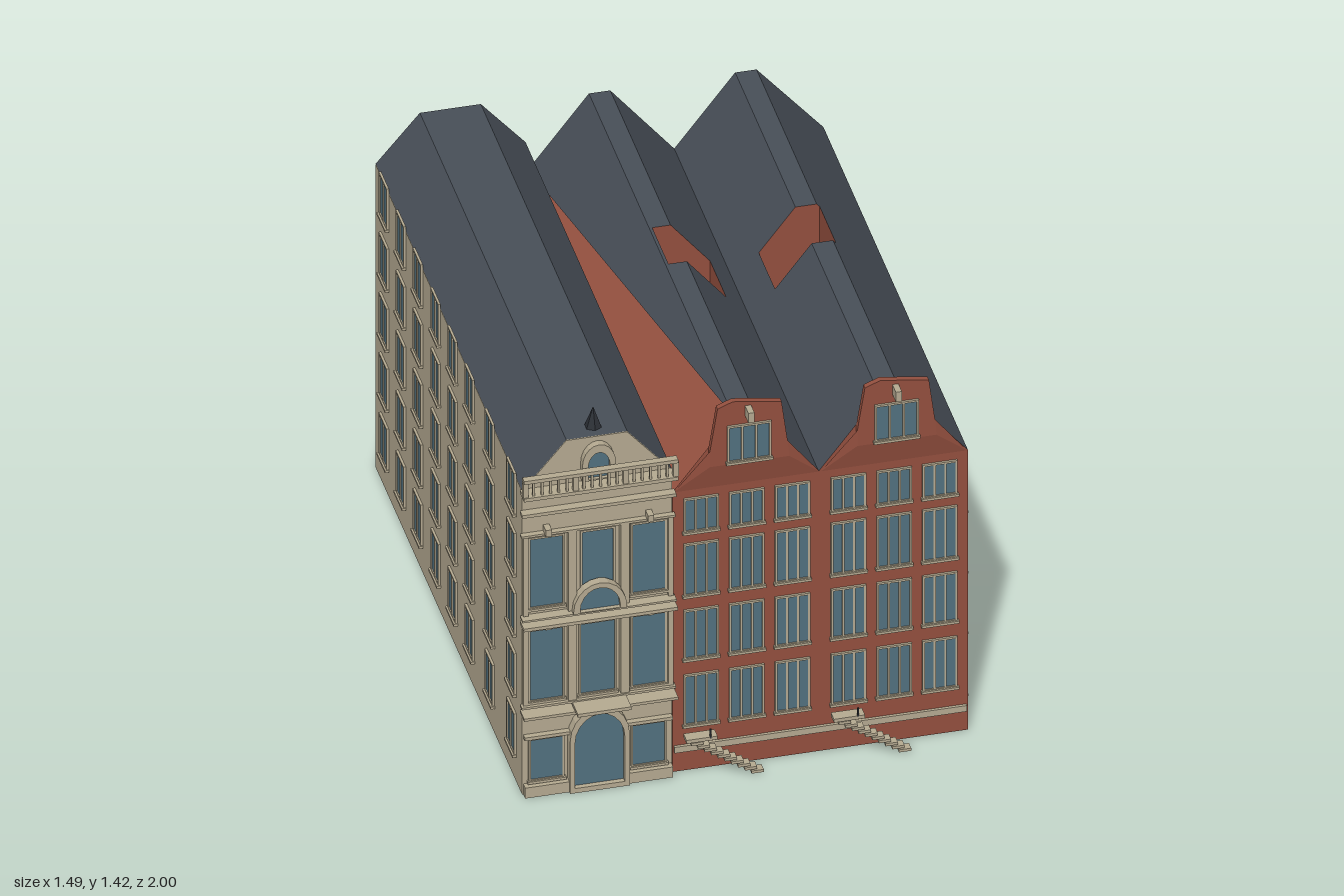
import * as THREE from 'three';

const mat = (color) => new THREE.MeshStandardMaterial({ color, side: THREE.DoubleSide, flatShading: true });
const RED = mat(0x94503f), SLATE = mat(0x484f58), STONE = mat(0xb5aa91), GLASS = mat(0x52717f), DARK = mat(0x2c3036);

const polygon = (pts) => new THREE.Shape(pts.map(([x, y]) => new THREE.Vector2(x, y)));
const rect = (x0, x1, y0, y1) => [[x0, y0], [x1, y0], [x1, y1], [x0, y1]];

function add(parent, name, geometry, material, x = 0, y = 0, z = 0) {
  const mesh = new THREE.Mesh(geometry, material);
  mesh.name = name;
  mesh.position.set(x, y, z);
  parent.add(mesh);
  return mesh;
}
// box given by its limits
const box = (p, name, m, x0, x1, y0, y1, z0, z1) =>
  add(p, name, new THREE.BoxGeometry(x1 - x0, y1 - y0, z1 - z0), m, (x0 + x1) / 2, (y0 + y1) / 2, (z0 + z1) / 2);
// flat polygon facing +z
const sheet = (p, name, m, pts, z) => add(p, name, new THREE.ShapeGeometry(polygon(pts)), m, 0, 0, z);
const plate = (p, name, m, shape, depth, z) =>
  add(p, name, new THREE.ExtrudeGeometry(shape, { depth, bevelEnabled: false, curveSegments: 10 }), m, 0, 0, z);
// surface from triangles or quads given by their corners
function faces(p, name, m, list) {
  const v = [];
  for (const f of list) for (let i = 1; i < f.length - 1; i++) v.push(...f[0], ...f[i], ...f[i + 1]);
  const g = new THREE.BufferGeometry();
  g.setAttribute('position', new THREE.Float32BufferAttribute(v, 3));
  g.computeVertexNormals();
  return add(p, name, g, m);
}

// framed window with upright panes, facing +z before turning
function makeWindow(p, x, y, z, w, h, panes = 2, turn = 0, t = 0.007) {
  const g = new THREE.Group();
  g.name = 'window';
  const shape = polygon(rect(-w / 2, w / 2, -h / 2, h / 2));
  const pw = (w - t) / panes;
  for (let i = 0; i < panes; i++) {
    const x0 = -w / 2 + t + i * pw;
    shape.holes.push(new THREE.Path(polygon(rect(x0, x0 + pw - t, -h / 2 + t, h / 2 - t)).getPoints()));
  }
  plate(g, 'windowFrame', STONE, shape, 0.008, 0);
  add(g, 'windowGlass', new THREE.PlaneGeometry(w, h), GLASS, 0, 0, 0.004);
  box(g, 'windowSill', STONE, -w / 2 - 0.004, w / 2 + 0.004, -h / 2 - 0.006, -h / 2 + 0.003, 0, 0.014);
  g.position.set(x, y, z);
  g.rotation.y = turn;
  p.add(g);
}

const RIDGES = [[-0.24, 1.08], [-0.04, 1.34], [0.03, 1.34], [0.24, 1.08], [0.44, 1.34], [0.51, 1.34], [0.73, 1.08]];
const BACK = -0.97, FRONT = 0.9, WELLS = [[-0.03, 0.16], [0.32, 0.52]], WZ = [-0.19, 0.02];
function roofY(x) {
  const i = Math.max(1, RIDGES.findIndex((r) => r[0] >= x));
  const [a, b] = [RIDGES[i - 1], RIDGES[i]];
  return a[1] + (b[1] - a[1]) * (x - a[0]) / (b[0] - a[0]);
}

function brickHouses() {
  const g = new THREE.Group();
  g.name = 'brickHouses';
  const outline = [[-0.24, 0], [0.73, 0], ...[...RIDGES].reverse()];
  sheet(g, 'frontWall', RED, outline, FRONT);
  sheet(g, 'backWall', RED, outline, BACK).geometry.scale(1, 1, -1);
  for (const x of [-0.24, 0.73])
    faces(g, 'sideWall', RED, [[[x, 0, FRONT], [x, 0, BACK], [x, 1.08, BACK], [x, 1.08, FRONT]]]);

  // ground and attic floors, pierced by the two light wells
  for (const y of [0, 1.075]) {
    const s = polygon(rect(-0.24, 0.73, -FRONT, -BACK));
    for (const [a, b] of WELLS) s.holes.push(new THREE.Path(polygon(rect(a, b, -WZ[1], -WZ[0])).getPoints()));
    add(g, 'floor', new THREE.ShapeGeometry(s), RED, 0, y, 0).rotation.x = -Math.PI / 2;
  }
  for (const [a, b] of WELLS) {
    const top = [a, ...RIDGES.map((r) => r[0]).filter((x) => x > a && x < b), b].map((x) => [x, roofY(x)]);
    for (const z of WZ) sheet(g, 'wellWall', RED, [[a, 0], [b, 0], ...top.reverse()], z);
    for (const x of [a, b])
      faces(g, 'wellWall', RED, [[[x, 0, WZ[0]], [x, 0, WZ[1]], [x, roofY(x), WZ[1]], [x, roofY(x), WZ[0]]]]);
    box(g, 'wellGlass', GLASS, a, b, 0.6, 0.61, ...WZ);
  }

  // roof strips; the westmost slope is only its rear triangle
  const roof = [[[-0.24, 1.08, BACK], [-0.04, 1.34, FRONT], [-0.04, 1.34, BACK]]];
  const xs = [...RIDGES.map((r) => r[0]), ...WELLS.flat()].sort((a, b) => a - b).slice(1);
  const zs = [BACK, ...WZ, FRONT];
  for (let i = 0; i < xs.length - 1; i++) {
    const [a, b] = [xs[i], xs[i + 1]], mid = (a + b) / 2;
    for (let k = 0; k < 3; k++) {
      if (k === 1 && WELLS.some((w) => mid > w[0] && mid < w[1])) continue;
      faces(g, 'roofStrip', SLATE, [[[a, roofY(a), zs[k]], [a, roofY(a), zs[k + 1]], [b, roofY(b), zs[k + 1]], [b, roofY(b), zs[k]]]]);
    }
  }
  faces(g, 'roofTriangle', SLATE, roof);

  // flanks and rear
  const rows = [0.182, 0.42, 0.654, 0.888];
  for (const y of rows) {
    for (const z of [0.796, 0.576, 0.357, 0.131, -0.094, -0.314, -0.533, -0.834])
      makeWindow(g, 0.73, y, z, 0.1, 0.163, 3, Math.PI / 2);
    for (const x of [0.61, 0.365, 0.11, -0.13]) makeWindow(g, x, y, BACK, 0.1, 0.163, 2, Math.PI);
  }

  // street front, repeated for both houses
  for (const cx of [0.003, 0.487]) {
    for (const [y0, y1] of [[0.175, 0.37], [0.43, 0.62], [0.675, 0.875], [0.92, 1.05]])
      for (const dx of [-0.15, 0, 0.15]) makeWindow(g, cx + dx, (y0 + y1) / 2, FRONT, 0.115, y1 - y0, 3);
    const edge = [[-0.125, 1.17], [0.135, 1.17], [0.13, 1.23], [0.11, 1.385], [0.02, 1.4], [-0.05, 1.41], [-0.1, 1.39], [-0.125, 1.23]];
    plate(g, 'gable', RED, polygon(edge.map(([x, y]) => [x + cx, y])), 0.02, FRONT);
    // leaning foot of the gable
    const [l, r, a, b, c, d] = [cx - 0.24, cx + 0.24, cx - 0.125, cx + 0.135, cx - 0.125, cx + 0.13];
    faces(g, 'gableFoot', RED, [
      [[l, 1.08, 0.902], [r, 1.08, 0.902], [b, 1.17, 0.92], [a, 1.17, 0.92]],
      [[l, 1.08, 0.902], [a, 1.17, 0.92], [c, 1.23, 0.92]],
      [[r, 1.08, 0.902], [d, 1.23, 0.92], [b, 1.17, 0.92]],
    ]);
    makeWindow(g, cx + 0.003, 1.25, 0.92, 0.145, 0.14, 3);
    box(g, 'hoistBeam', STONE, cx - 0.01, cx + 0.01, 1.35, 1.388, FRONT, 0.965);
    // open stair
    box(g, 'stairLanding', STONE, cx - 0.217, cx - 0.115, 0.157, 0.17, 0.94, 0.98);
    for (let i = 0; i < 10; i++) {
      const x = cx - 0.2 + i * 0.022, y = 0.142 - i * 0.0155;
      box(g, 'stairTread', STONE, x, x + 0.04, y, y + 0.01, 0.945, 0.975);
    }
    box(g, 'stairPost', DARK, cx - 0.14, cx - 0.135, 0.165, 0.2, 0.975, 0.98);
  }
  box(g, 'plinthBand', STONE, -0.235, 0.725, 0.077, 0.1, FRONT, 0.91);
  return g;
}

function stoneHouse() {
  const g = new THREE.Group();
  g.name = 'stoneHouse';
  const L = -0.735, R = -0.243, C = -0.488, B = -0.99, F = 0.905;
  const top = [[R, 1.17], [-0.39, 1.342], [-0.59, 1.342], [L, 1.17]];
  plate(g, 'body', STONE, polygon([[L, 0], [R, 0], ...top]), F - B, B);
  faces(g, 'roof', SLATE, [0, 1, 2].map((i) => {
    const [[x0, y0], [x1, y1]] = [top[i], top[i + 1]];
    return [[x0, y0 + 0.003, F], [x0, y0 + 0.003, B], [x1, y1 + 0.003, B], [x1, y1 + 0.003, F]];
  }));
  add(g, 'spire', new THREE.ConeGeometry(0.032, 0.085, 6), DARK, C, 1.378, 0.85);

  for (let i = 0; i < 5; i++) {
    const y = 0.182 + i * 0.232;
    for (const z of [0.78, 0.5, 0.24, 0.02, -0.2, -0.43, -0.65, -0.87])
      makeWindow(g, L, y, z, 0.1, 0.16, 2, -Math.PI / 2);
    for (const x of [-0.375, -0.6]) makeWindow(g, x, y, B, 0.1, 0.16, 1, Math.PI);
  }

  // street windows and the piers between them
  for (const s of [-1, 1]) {
    makeWindow(g, C + s * 0.168, 0.132, F, 0.118, 0.165, 1);
    makeWindow(g, C + s * 0.168, 0.495, F, 0.12, 0.28, 1);
    makeWindow(g, C + s * 0.168, 0.852, F, 0.12, 0.275, 1);
    for (const [y0, y1] of [[0.345, 0.655], [0.695, 1.0]]) {
      box(g, 'pier', STONE, C + s * 0.086 - 0.014, C + s * 0.086 + 0.014, y0, y1, F, 0.925);
      box(g, 'cornerPier', STONE, C + s * 0.238 - 0.008, C + s * 0.238 + 0.008, y0, y1, F, 0.92);
    }
    for (const y of [0.655, 1.015]) box(g, 'keystone', STONE, C + s * 0.168 - 0.01, C + s * 0.168 + 0.01, y - 0.01, y + 0.015, F, 0.94);
    box(g, 'plinth', STONE, C + s * 0.168 - 0.075, C + s * 0.168 + 0.075, 0, 0.04, F, 0.93);
    box(g, 'lowerCornice', STONE, C + s * 0.168 - 0.075, C + s * 0.168 + 0.075, 0.218, 0.23, F, 0.925);
  }
  makeWindow(g, C, 0.495, F, 0.125, 0.28, 1);
  makeWindow(g, C, 0.852, F, 0.115, 0.275, 1);

  // cornices: bottom, top, reach
  for (const [y0, y1, z] of [[0.318, 0.328, 0.96], [0.342, 0.35, 0.93], [0.66, 0.672, 0.955], [0.685, 0.692, 0.94],
    [1.0, 1.008, 0.925], [1.085, 1.097, 0.935], [1.165, 1.178, 0.96]])
    box(g, 'cornice', STONE, -0.742, -0.236, y0, y1, F, z);
  box(g, 'doorCanopy', STONE, C - 0.088, C + 0.088, 0.333, 0.345, F, 1.0);

  // arched opening: stone ring with glass behind
  const arch = (w, y0, ys, y1) => {
    const pts = [[C - w, y0], [C + w, y0]];
    for (let i = 0; i <= 10; i++) pts.push([C + w * Math.cos(i * Math.PI / 10), ys + (y1 - ys) * Math.sin(i * Math.PI / 10)]);
    return pts;
  };
  const archway = (name, outer, inner, z, depth) => {
    const s = polygon(outer);
    s.holes.push(new THREE.Path(polygon(inner).getPoints()));
    plate(g, name + 'Surround', STONE, s, depth, z);
    sheet(g, name + 'Glass', GLASS, inner, z + depth / 2);
  };
  archway('door', arch(0.098, 0, 0.2, 0.318), arch(0.082, 0.018, 0.19, 0.292), F, 0.035);
  archway('balconyArch', arch(0.088, 0.693, 0.7, 0.802), arch(0.066, 0.697, 0.705, 0.783), 0.915, 0.03);
  archway('dormer', arch(0.055, 1.19, 1.25, 1.325), arch(0.036, 1.195, 1.24, 1.295), F, 0.025);

  // roof balustrade
  box(g, 'handrail', STONE, -0.742, -0.236, 1.232, 1.245, 0.935, 0.96);
  for (let i = 0; i < 19; i++) {
    const x = -0.735 + i * 0.0274, r = i % 6 ? 0.004 : 0.009;
    box(g, 'baluster', STONE, x - r, x + r, 1.178, 1.232, 0.947 - r, 0.947 + r);
  }
  return g;
}

export function createModel() {
  const model = new THREE.Group();
  model.name = 'canalHouses';
  model.add(brickHouses(), stoneHouse());
  return model;
}
